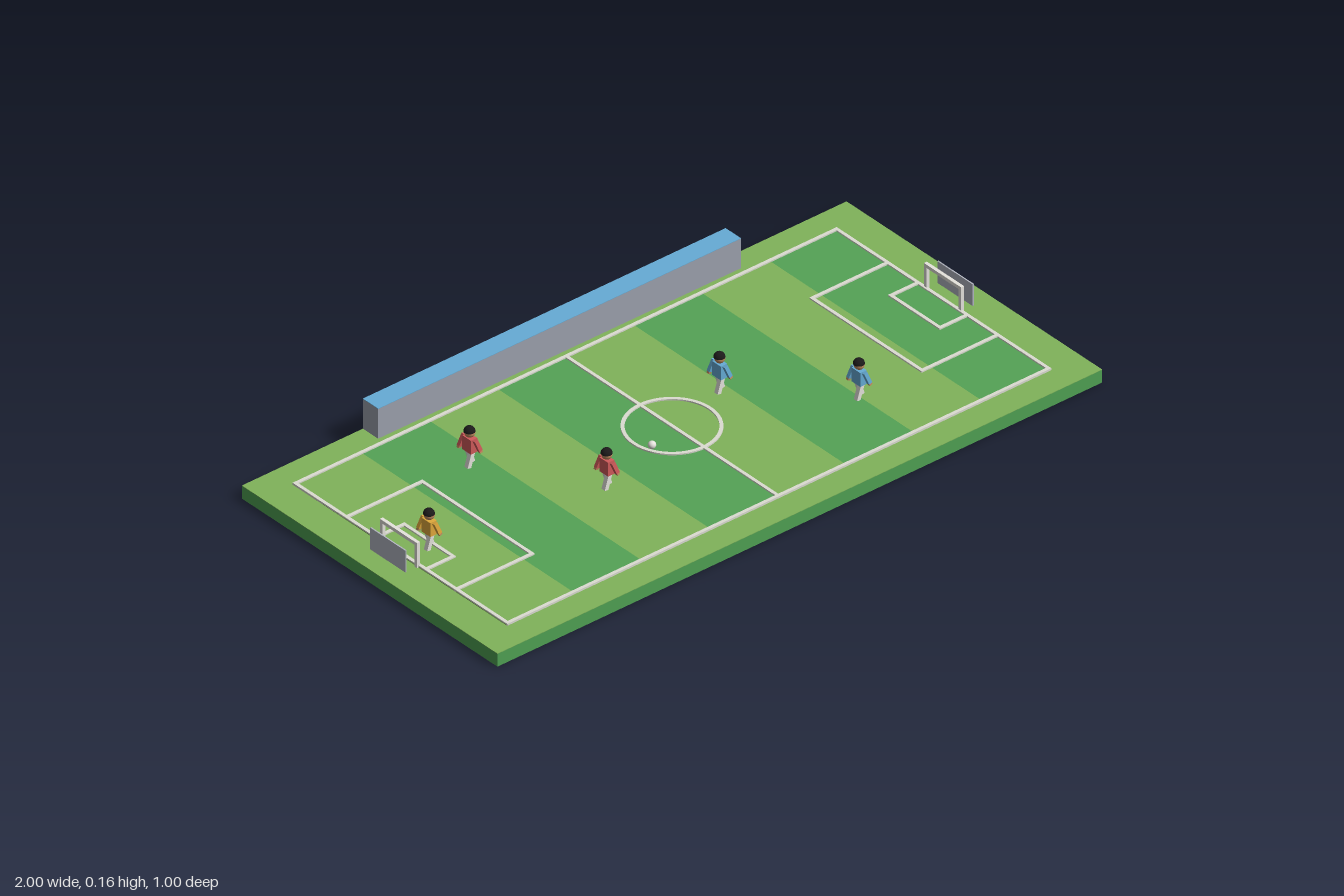
import * as THREE from 'three';

const mat = (color) => new THREE.MeshStandardMaterial({ color });
const M = {
  soil: mat(0x4fa153), light: mat(0x80b35a), dark: mat(0x55a356), line: mat(0xdcdcd2),
  white: mat(0xe6e4de), net: mat(0xb4b8c2), wall: mat(0x9ca1ad), roof: mat(0x66acd6),
  red: mat(0xd05a5a), blue: mat(0x66acd6), yellow: mat(0xe0a93c), skin: mat(0xc08a5e), hair: mat(0x1c1a1a),
};
const GROUND = 0.04;

function add(parent, name, geo, material, x = 0, y = 0, z = 0) {
  const mesh = new THREE.Mesh(geo, material);
  mesh.name = name;
  mesh.position.set(x, y, z);
  parent.add(mesh);
  return mesh;
}
const box = (parent, name, w, h, d, material, x, y, z) =>
  add(parent, name, new THREE.BoxGeometry(w, h, d), material, x, y, z);

// A painted line between two corners, parallel to x or z
function line(parent, x1, z1, x2, z2, w = 0.01) {
  box(parent, 'pitchLine', Math.abs(x2 - x1) + w, 0.006, Math.abs(z2 - z1) + w, M.line,
    (x1 + x2) / 2, GROUND + 0.003, (z1 + z2) / 2);
}

// A limb hanging from a pivot; swing moves its lower end forward (+x)
function limb(parent, name, w, len, d, material, y, z, swing, flare = 0) {
  const pivot = new THREE.Group();
  pivot.name = name;
  pivot.position.set(0, y, z);
  pivot.rotation.set(flare, 0, swing);
  box(pivot, name + 'Segment', w, len, d, material, 0, -len / 2, 0);
  parent.add(pivot);
  return pivot;
}

// Running figure facing +x
function player(kit, x, z) {
  const g = new THREE.Group();
  g.name = 'player';
  g.position.set(x, GROUND, z);
  box(g, 'torso', 0.021, 0.042, 0.034, kit, 0, 0.065, 0);
  for (const s of [1, -1]) {
    limb(g, 'leg', 0.012, 0.047, 0.013, M.white, 0.047, s * 0.0085, -s * 0.3);
    const arm = limb(g, 'arm', 0.011, 0.036, 0.01, kit, 0.085, s * 0.021, s * 0.35, -s * 0.14);
    box(arm, 'hand', 0.009, 0.006, 0.008, M.skin, 0, -0.039, 0);
  }
  add(g, 'head', new THREE.SphereGeometry(0.0145, 16, 12), M.skin, 0, 0.1, 0);
  add(g, 'hair', new THREE.SphereGeometry(0.0155, 16, 8, 0, Math.PI * 2, 0, Math.PI / 2), M.hair, -0.001, 0.103, 0)
    .material.side = THREE.DoubleSide;
  return g;
}

// Goal frame with a flat net panel behind it; side is +1 or -1 along x
function goal(side) {
  const g = new THREE.Group();
  g.name = 'goal';
  for (const s of [1, -1]) box(g, 'goalPost', 0.01, 0.075, 0.01, M.white, side * 0.9, GROUND + 0.0375, s * 0.068);
  box(g, 'crossbar', 0.01, 0.01, 0.146, M.white, side * 0.9, GROUND + 0.071, 0);
  box(g, 'netPanel', 0.004, 0.066, 0.138, M.net, side * 0.938, GROUND + 0.033, 0);
  return g;
}

export function createModel() {
  const model = new THREE.Group();
  model.name = 'footballPitch';

  // Slab with a turf top
  box(model, 'base', 2, 0.0385, 1, M.soil, 0, 0.01925, 0);
  box(model, 'turf', 2, 0.0015, 1, M.light, 0, 0.03925, 0);
  // Mown stripes
  for (let i = 0; i < 8; i++) {
    box(model, 'mownStripe', 0.225, 0.002, 0.83, i % 2 ? M.dark : M.light, -0.7875 + i * 0.225, GROUND + 0.001, 0);
  }

  // Markings
  const X = 0.895, Z = 0.415;
  for (const s of [1, -1]) {
    line(model, -X, s * Z, X, s * Z);
    line(model, s * X, -Z, s * X, Z);
    for (const [bx, bz] of [[0.645, 0.215], [0.805, 0.096]]) {
      line(model, s * bx, -bz, s * bx, bz);
      for (const t of [1, -1]) line(model, s * bx, t * bz, s * X, t * bz);
    }
  }
  line(model, 0, -Z, 0, Z);
  const ring = new THREE.Shape().absarc(0, 0, 0.13, 0, Math.PI * 2, false);
  ring.holes.push(new THREE.Path().absarc(0, 0, 0.12, 0, Math.PI * 2, true));
  add(model, 'centreCircle', new THREE.ExtrudeGeometry(ring, { depth: 0.006, bevelEnabled: false, curveSegments: 40 }),
    M.line, 0, GROUND, 0).rotation.x = -Math.PI / 2;

  model.add(goal(1), goal(-1));

  // Stand along the back edge
  box(model, 'stand', 1.2, 0.09, 0.06, M.wall, 0, GROUND + 0.045, -0.47);
  box(model, 'standTop', 1.2, 0.0015, 0.06, M.roof, 0, GROUND + 0.09075, -0.47);

  // Ball and players
  add(model, 'ball', new THREE.SphereGeometry(0.011, 16, 12), M.white, -0.1, GROUND + 0.011, 0.04);
  const team = [[M.yellow, -0.82, 0.02], [M.red, -0.5, -0.2], [M.red, -0.3, 0.1], [M.blue, 0.2, -0.05], [M.blue, 0.45, 0.2]];
  for (const [kit, x, z] of team) model.add(player(kit, x, z));
  return model;
}
